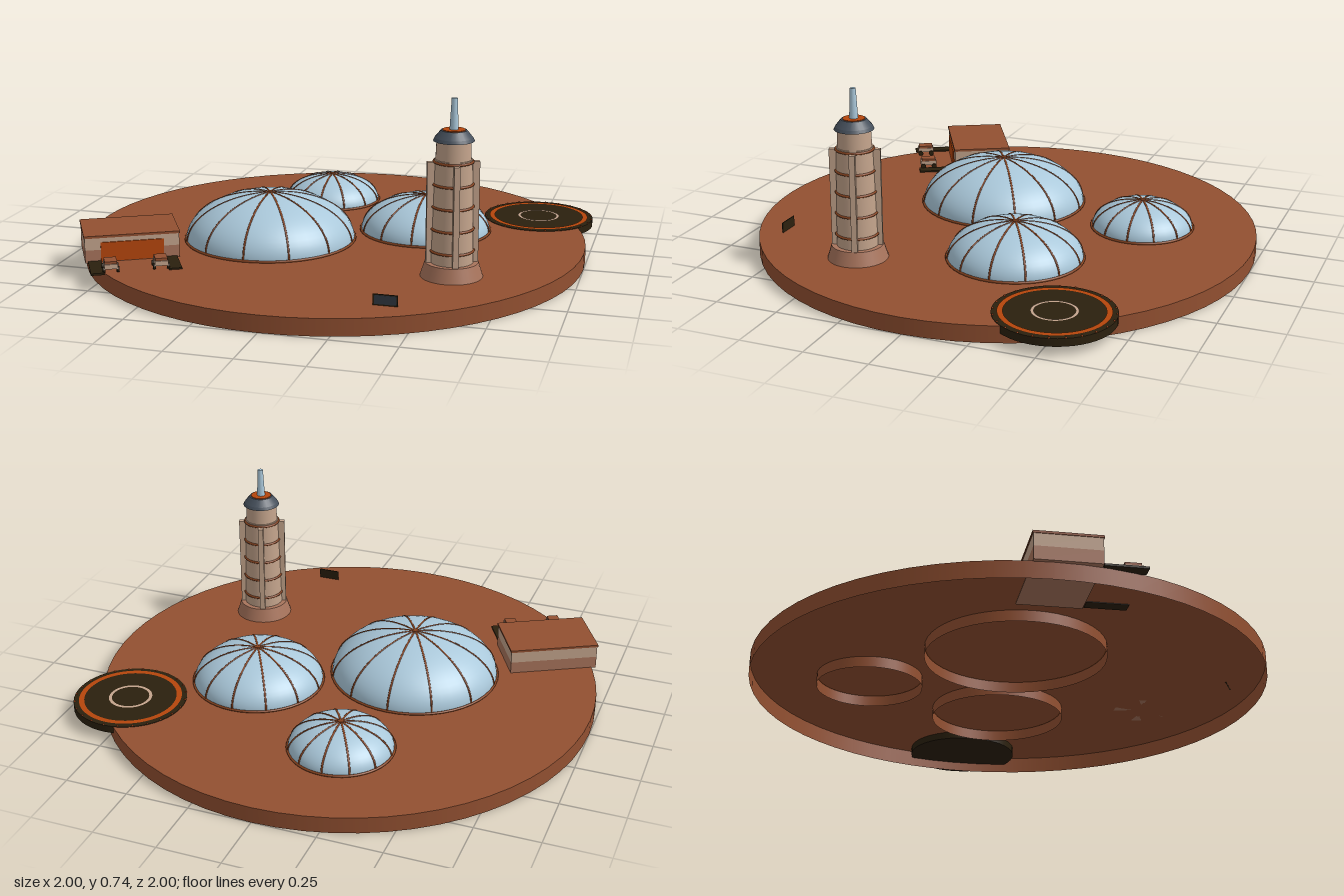
import * as THREE from 'three';

const mat = (name, color, side = THREE.FrontSide) => {
  const m = new THREE.MeshStandardMaterial({ color, side });
  m.name = name;
  return m;
};

export function createModel() {
  const soil = mat('red soil', 0x925031, THREE.DoubleSide);
  const clay = mat('clay', 0xa8745c);
  const tan = mat('tan wall', 0xc4a48c);
  const glass = mat('pale blue glass', 0xaac8da);
  const rib = mat('rust', 0x84421f);
  const orange = mat('orange', 0xb5450b);
  const dark = mat('dark olive', 0x2b200e);
  const slate = mat('slate', 0x46505c);
  const screen = mat('dark slate', 0x333c44);

  const root = new THREE.Group();
  root.name = 'domeSettlement';
  const GROUND = 0.065;

  const group = (name, x, z, parent = root) => {
    const g = new THREE.Group();
    g.name = name;
    g.position.set(x, 0, z);
    parent.add(g);
    return g;
  };
  const add = (parent, name, geo, material, x = 0, y = 0, z = 0) => {
    const m = new THREE.Mesh(geo, material);
    m.name = name;
    m.position.set(x, y, z);
    parent.add(m);
    return m;
  };
  // Upright cylinder or cone between two heights
  const column = (parent, name, rTop, rBottom, y0, y1, material, sides = 32, open = false) =>
    add(parent, name, new THREE.CylinderGeometry(rTop, rBottom, y1 - y0, sides, 1, open), material, 0, (y0 + y1) / 2, 0);
  const box = (parent, name, w, h, d, material, x, y, z) =>
    add(parent, name, new THREE.BoxGeometry(w, h, d), material, x, y, z);
  // Flat shape lying level
  const flat = (parent, name, geo, y, material) => add(parent, name, geo.rotateX(-Math.PI / 2), material, 0, y, 0);
  const hoop = (parent, name, r, tube, y, material) =>
    flat(parent, name, new THREE.TorusGeometry(r, tube, 8, 48), y, material);

  // Ground: a shallow shell, open underneath
  column(root, 'groundRim', 1, 1, 0, GROUND, soil, 64, true);
  flat(root, 'groundTop', new THREE.CircleGeometry(1, 64), GROUND, soil);

  // Domes: flattened hemisphere, footing ring through the ground, twelve ribs
  const dome = (x, z, r, h) => {
    const g = group('dome', x, z);
    const shell = group('domeShell', 0, 0, g);
    shell.position.y = GROUND;
    shell.scale.y = h / r;
    add(shell, 'domeGlass', new THREE.SphereGeometry(r, 48, 16, 0, Math.PI * 2, 0, Math.PI / 2), glass);
    const ribGeo = new THREE.TorusGeometry(r, 0.004, 6, 24, Math.PI / 2);
    for (let i = 0; i < 12; i++) {
      add(shell, 'domeRib', ribGeo, rib).rotation.y = (i * Math.PI) / 6;
    }
    column(g, 'domeFooting', r + 0.005, r + 0.005, 0.022, GROUND + 0.006, soil, 48, true);
    hoop(g, 'domeBaseHoop', r + 0.002, 0.005, GROUND + 0.004, rib);
    column(g, 'domeHub', 0.012, 0.015, GROUND + h - 0.004, GROUND + h + 0.004, rib, 16);
  };
  dome(-0.24, 0.115, 0.338, 0.19);
  dome(0.335, -0.165, 0.262, 0.147);
  dome(-0.16, -0.52, 0.202, 0.113);

  // Landing pad with painted rings and small edge lights
  const pad = group('landingPad', 0.755, -0.48);
  column(pad, 'padDisc', 0.225, 0.225, 0.037, 0.067, dark, 48);
  flat(pad, 'padOuterRing', new THREE.RingGeometry(0.183, 0.204, 64), 0.069, orange);
  flat(pad, 'padInnerRing', new THREE.RingGeometry(0.074, 0.086, 64), 0.069, tan);
  const lightGeo = new THREE.SphereGeometry(0.004, 8, 6);
  for (let i = 0; i < 24; i++) {
    const a = (i * Math.PI) / 12;
    add(pad, 'padLight', lightGeo, orange, Math.cos(a) * 0.22, 0.067, Math.sin(a) * 0.22);
  }

  // Control tower
  const tower = group('tower', 0.555, 0.395);
  column(tower, 'towerBase', 0.1, 0.117, GROUND, 0.12, clay);
  column(tower, 'towerShaft', 0.07, 0.08, 0.12, 0.51, tan);
  column(tower, 'towerNeck', 0.063, 0.066, 0.51, 0.58, tan);
  for (let i = 0; i < 5; i++) {
    hoop(tower, 'towerHoop', 0.08 - i * 0.0022, 0.005, 0.165 + i * 0.084, rib);
  }
  for (let i = 0; i < 4; i++) {
    const a = 0.35 + (i * Math.PI) / 2;
    const fin = box(tower, 'towerFin', 0.022, 0.385, 0.04, tan, Math.sin(a) * 0.077, 0.3075, Math.cos(a) * 0.077);
    fin.rotation.y = a;
  }
  column(tower, 'towerEave', 0.07, 0.076, 0.578, 0.59, slate, 24);
  column(tower, 'towerRoof', 0.048, 0.07, 0.59, 0.617, slate, 24);
  column(tower, 'towerRoofDisc', 0.042, 0.042, 0.612, 0.62, orange, 24);
  column(tower, 'mast', 0.011, 0.017, 0.615, 0.735, glass, 16);

  // Garage, turned towards the middle front
  const garage = group('garage', -0.714, 0.434);
  garage.rotation.y = 0.5;
  box(garage, 'garageLowerWall', 0.36, 0.05, 0.24, clay, 0, 0.088, 0);
  box(garage, 'garageUpperWall', 0.36, 0.048, 0.24, tan, 0, 0.137, 0);
  box(garage, 'garageRoof', 0.366, 0.009, 0.246, soil, 0, 0.1645, 0);
  box(garage, 'garageDoor', 0.24, 0.075, 0.008, orange, 0, 0.105, 0.121);

  // Side ramps and two rovers in front of the garage
  const wheel = new THREE.CylinderGeometry(0.011, 0.011, 0.01, 12).rotateZ(Math.PI / 2);
  for (const s of [-1, 1]) {
    box(garage, 'ramp', 0.05, 0.008, 0.155, dark, s * 0.145, 0.067, 0.2);
    const rover = group('rover', s * 0.094, 0.235, garage);
    box(rover, 'roverBody', 0.05, 0.018, 0.07, tan, 0, 0.09, 0);
    box(rover, 'roverTop', 0.046, 0.01, 0.06, soil, 0, 0.104, 0);
    for (const x of [-0.026, 0.026]) {
      for (const z of [-0.024, 0.024]) add(rover, 'roverWheel', wheel, dark, x, 0.077, z);
    }
  }

  // Small upright panel near the front edge
  const panel = group('panel', 0.4, 0.79);
  box(panel, 'panelFrame', 0.09, 0.042, 0.004, dark, 0, 0.085, 0);
  box(panel, 'panelFace', 0.08, 0.033, 0.002, screen, 0, 0.086, 0.002);

  return root;
}
